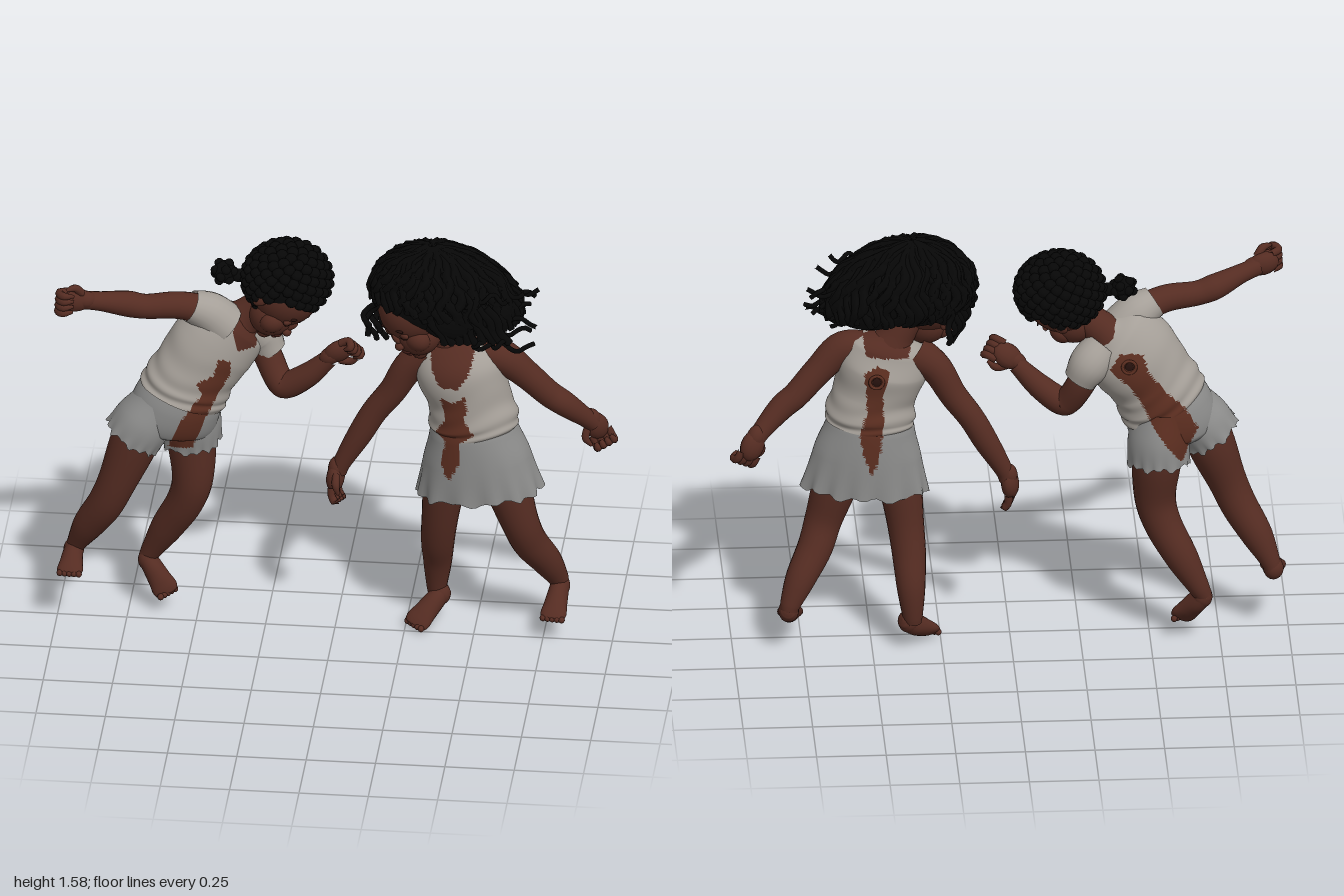
import * as THREE from 'three';

const V = (p) => new THREE.Vector3(...p);
const mat = (name, color) => Object.assign(new THREE.MeshStandardMaterial({ color }), { name });

export function createModel() {
  const root = new THREE.Group();
  const skin = mat('skin', 0x552c22), shirt = mat('shirt cloth', 0xa59f98), shorts = mat('shorts cloth', 0x8d8d8c);
  const hair = mat('hair', 0x070707), stain = mat('stain', 0x5c2e20), dark = mat('dark', 0x27120e), lip = mat('lips', 0x47201a);
  shirt.side = shorts.side = stain.side = THREE.DoubleSide;
  let seed = 7;
  const rnd = () => (seed = (seed * 16807) % 2147483647) / 2147483647;

  const add = (parent, name, geo, m) => {
    const mesh = new THREE.Mesh(geo, m);
    mesh.name = name;
    parent.add(mesh);
    return mesh;
  };
  const ball = (parent, name, p, r, m, seg = 14) => {
    const mesh = add(parent, name, new THREE.SphereGeometry(1, seg, Math.ceil(seg * 0.7)), m);
    mesh.position.set(...p);
    mesh.scale.set(...r);
    return mesh;
  };
  const inside = (x, y, poly) => {
    let hit = false;
    poly.forEach(([ax, ay], i) => {
      const [bx, by] = poly[(i + 1) % poly.length];
      if ((ay > y) !== (by > y) && x < ((bx - ax) * (y - ay)) / (by - ay) + ax) hit = !hit;
    });
    return hit;
  };

  // Elliptical loft through sections [x, y, z, halfWidth, halfDepth]
  // patches: [polygon in x/y, facing sign, material index]
  function loft(parent, name, secs, m, o = {}) {
    const { rows = 24, cols = 20, twist = 0, ref = [0, 0, 1], shape = () => 1, drop = () => 0, patches = [] } = o;
    const path = new THREE.CatmullRomCurve3(secs.map((s) => V(s.slice(0, 3))));
    const size = new THREE.CatmullRomCurve3(secs.map((s) => V([s[3], s[4] ?? s[3], 0])), false, 'catmullrom', 0.4);
    const cs = Math.cos(twist), sn = Math.sin(twist), pos = [], tris = [];
    for (let i = 0; i <= rows; i++) {
      const t = i / rows, c = path.getPoint(t), d = path.getTangent(t), r = size.getPoint(t);
      const u = d.clone().cross(V(ref)).normalize(), v = d.clone().cross(u);
      for (let j = 0; j < cols; j++) {
        const a = (j / cols) * Math.PI * 2, k = shape(t, a);
        const x = Math.cos(a) * Math.max(r.x, 0.002) * k, y = Math.sin(a) * Math.max(r.y, 0.002) * k;
        const p = c.clone().addScaledVector(u, x * cs - y * sn).addScaledVector(v, x * sn + y * cs).addScaledVector(d, drop(t, a));
        pos.push(p.x, p.y, p.z);
      }
    }
    for (let i = 0; i < rows; i++) for (let j = 0; j < cols; j++) {
      const a = i * cols + j, b = i * cols + ((j + 1) % cols);
      tris.push([a, b, a + cols], [b, b + cols, a + cols]);
    }
    const geo = new THREE.BufferGeometry();
    geo.setAttribute('position', new THREE.Float32BufferAttribute(pos, 3));
    const bins = [m].flat().map(() => []);
    for (const t of tris) {
      const [a, b, c] = t.map((i) => V(pos.slice(i * 3, i * 3 + 3)));
      const mid = a.clone().add(b).add(c).divideScalar(3), nz = b.sub(a).cross(c.sub(a)).z;
      let k = 0;
      for (const [poly, sign, index] of patches) if (nz * sign > 0 && inside(mid.x, mid.y, poly)) k = index;
      bins[k].push(...t);
    }
    geo.setIndex(bins.flat());
    let start = 0;
    if (Array.isArray(m)) bins.forEach((b, i) => { geo.addGroup(start, b.length, i); start += b.length; });
    geo.computeVertexNormals();
    return add(parent, name, geo, m);
  }
  const limb = (parent, name, secs) => loft(parent, name, secs, skin, { rows: 32, cols: 20 });

  // Hand whose fingers run along dir; curl folds them into a fist
  function hand(parent, name, p, dir, roll, curl) {
    const g = new THREE.Group();
    g.name = name;
    g.position.set(...p);
    g.quaternion.setFromUnitVectors(V([0, 1, 0]), V(dir).normalize());
    g.rotateY(roll);
    ball(g, 'palm', [0, 0, 0], [0.045, 0.058, 0.032], skin);
    ball(g, 'wrist', [0, -0.035, 0], [0.033, 0.045, 0.031], skin);
    const digit = (label, pts) => loft(g, label, pts.map((q, k) => [...q, k === pts.length - 1 ? 0.006 : 0.0145]), skin, { rows: 10, cols: 8, ref: [1, 0, 0.1] });
    for (const x of [-0.033, -0.011, 0.011, 0.033]) {
      digit('finger', [[x, 0.03, 0], [x, 0.065, 0.014 * curl], [x, 0.108 - 0.053 * curl, 0.05 * curl], [x * 0.9, 0.125 - 0.108 * curl, 0.045 * curl]]);
    }
    digit('thumb', [[0.028, -0.02, 0.012], [0.053, 0.01, 0.023], [0.048, 0.045, 0.035]]);
    parent.add(g);
  }

  // Foot from heel to toes, joined to the ankle by a rounded heel
  function foot(parent, name, heel, toe) {
    const h = V(heel), t = V(toe), at = (k) => h.clone().lerp(t, k).toArray();
    ball(parent, 'heel', heel, [0.037, 0.042, 0.038], skin, 18);
    loft(parent, name, [[...at(-0.25), 0.004, 0.004], [...at(-0.15), 0.032, 0.03], [...at(0.2), 0.042, 0.037], [...at(0.55), 0.034, 0.042],
      [...at(0.8), 0.024, 0.047], [...at(0.96), 0.014, 0.038], [...at(1), 0.003, 0.01]], skin, { ref: [1, 0, 0] });
    const side = t.clone().sub(h).cross(V([0, 1, 0.2])).normalize();
    for (let i = -2; i <= 2; i++) ball(parent, 'toe', V(at(0.95)).addScaledVector(side, i * 0.017).toArray(), [0.012, 0.012, 0.014], skin, 10);
  }

  // Head in its own frame: +z is the face, +y the crown
  function head(parent, p, face, up) {
    const g = new THREE.Group();
    g.name = 'head';
    const f = V(face).normalize(), x = V(up).cross(f).normalize(), y = f.clone().cross(x);
    g.quaternion.setFromRotationMatrix(new THREE.Matrix4().makeBasis(x, y, f));
    g.position.set(...p);
    ball(g, 'skull', [0, 0.02, -0.01], [0.12, 0.13, 0.132], skin, 30);
    ball(g, 'jaw', [0, -0.065, 0.045], [0.09, 0.088, 0.085], skin, 26);
    ball(g, 'chin', [0, -0.125, 0.088], [0.035, 0.028, 0.028], skin);
    ball(g, 'nose', [0, -0.047, 0.13], [0.02, 0.016, 0.018], skin);
    ball(g, 'noseBridge', [0, -0.02, 0.119], [0.012, 0.03, 0.014], skin);
    ball(g, 'upperLip', [0, -0.083, 0.125], [0.028, 0.008, 0.01], lip);
    ball(g, 'lowerLip', [0, -0.096, 0.121], [0.024, 0.009, 0.01], lip);
    for (const s of [-1, 1]) {
      ball(g, 'cheek', [s * 0.045, -0.055, 0.075], [0.052, 0.05, 0.045], skin, 20);
      ball(g, 'eyelid', [s * 0.047, -0.002, 0.106], [0.024, 0.014, 0.012], skin);
      ball(g, 'lashes', [s * 0.047, -0.01, 0.112], [0.021, 0.003, 0.007], dark, 12);
      ball(g, 'eyebrow', [s * 0.047, 0.03, 0.109], [0.025, 0.004, 0.007], dark, 12).rotation.z = -s * 0.15;
      ball(g, 'ear', [s * 0.122, -0.02, -0.005], [0.015, 0.036, 0.024], skin);
    }
    parent.add(g);
    return { f, y };
  }

  const folds = (t, a) => 1 + 0.04 * Math.sin(t * 34 + 2 * Math.sin(a * 2)) * Math.max(0, t - 0.35);
  const ruffle = (t, a) => 1 + 0.045 * t ** 6 * Math.sin(a * 13 + Math.sin(a * 3)) + 0.015 * t * Math.sin(a * 5);
  const ragged = (t, a) => 0.006 * t ** 5 * (Math.sin(a * 7) + Math.sin(a * 16 + 1));
  const cloth = { rows: 60, cols: 76 };

  // ---- Child with braided hair ----
  const one = new THREE.Group();
  one.name = 'childWithBraids';
  root.add(one);
  const frontA = [[-0.41, 1.12], [-0.37, 1.1], [-0.37, 1.05], [-0.42, 0.96], [-0.47, 0.85], [-0.51, 0.73], [-0.6, 0.72], [-0.56, 0.85], [-0.51, 0.93], [-0.47, 0.98], [-0.49, 1.03], [-0.43, 1.05]];
  const backA = [[-0.39, 1.18], [-0.35, 1.12], [-0.42, 1.05], [-0.47, 0.97], [-0.51, 0.88], [-0.61, 0.74], [-0.67, 0.86], [-0.62, 0.95], [-0.55, 1.02], [-0.49, 1.1], [-0.47, 1.17]];
  const patchA = [[frontA, 1, 1], [backA, -1, 1]];
  loft(one, 'shirt', [[-0.335, 1.235, -0.07, 0.06, 0.055], [-0.37, 1.2, -0.06, 0.15, 0.1], [-0.44, 1.12, -0.045, 0.168, 0.125], [-0.5, 1.03, -0.03, 0.158, 0.128],
    [-0.535, 0.965, -0.025, 0.165, 0.135], [-0.555, 0.92, -0.02, 0.165, 0.135]], [shirt, stain, skin],
  { ...cloth, twist: -0.4, shape: folds, patches: [...patchA, [[[-0.37, 1.27], [-0.24, 1.24], [-0.29, 1.13], [-0.35, 1.14]], 1, 2]] });
  loft(one, 'rightSleeve', [[-0.4, 1.21, -0.02, 0.085], [-0.455, 1.265, -0.005, 0.076], [-0.52, 1.3, 0.015, 0.058]], shirt);
  loft(one, 'leftSleeve', [[-0.33, 1.17, -0.09, 0.075], [-0.28, 1.12, -0.12, 0.075], [-0.245, 1.06, -0.12, 0.06]], shirt);
  loft(one, 'shorts', [[-0.53, 1.0, -0.02, 0.14, 0.12], [-0.57, 0.89, -0.02, 0.165, 0.135], [-0.6, 0.8, -0.02, 0.16, 0.12], [-0.61, 0.755, -0.02, 0.06, 0.05]], [shorts, stain], { ...cloth, twist: -0.4, patches: patchA });
  const hem = { rows: 36, cols: 60, shape: ruffle, drop: ragged, patches: patchA };
  loft(one, 'rightShortsLeg', [[-0.64, 0.91, 0.01, 0.08, 0.1], [-0.685, 0.83, 0.02, 0.105, 0.115], [-0.725, 0.765, 0.025, 0.108, 0.113]], [shorts, stain], hem);
  loft(one, 'leftShortsLeg', [[-0.54, 0.91, -0.06, 0.09, 0.11], [-0.53, 0.8, -0.075, 0.11, 0.12], [-0.53, 0.71, -0.085, 0.11, 0.113]], [shorts, stain], hem);
  limb(one, 'rightArm', [[-0.45, 1.27, -0.01, 0.055], [-0.56, 1.305, 0.025, 0.05], [-0.68, 1.31, 0.055, 0.045], [-0.74, 1.325, 0.07, 0.047], [-0.84, 1.355, 0.115, 0.035], [-0.9, 1.37, 0.14, 0.033]]);
  hand(one, 'rightHand', [-0.92, 1.375, 0.15], [-1, 0.1, 0.3], 0.4, 1);
  limb(one, 'leftArm', [[-0.3, 1.14, -0.11, 0.055], [-0.255, 1.05, -0.11, 0.052], [-0.21, 0.965, -0.08, 0.05], [-0.19, 0.95, -0.07, 0.05], [-0.11, 1.0, -0.05, 0.045], [-0.02, 1.09, -0.035, 0.032]]);
  hand(one, 'leftHand', [0.01, 1.12, -0.03], [0.8, 0.55, 0], 0.5, 0.8);
  limb(one, 'rightLeg', [[-0.67, 0.88, 0.02, 0.085], [-0.72, 0.74, 0.02, 0.088], [-0.785, 0.57, 0.03, 0.07], [-0.825, 0.48, 0.02, 0.066], [-0.885, 0.38, -0.01, 0.058], [-0.935, 0.28, -0.04, 0.036], [-0.945, 0.25, -0.045, 0.032]]);
  foot(one, 'rightFoot', [-0.945, 0.255, -0.04], [-0.95, 0.215, 0.085]);
  limb(one, 'leftLeg', [[-0.54, 0.86, -0.07, 0.09], [-0.525, 0.72, -0.075, 0.09], [-0.52, 0.55, -0.06, 0.074], [-0.545, 0.46, -0.07, 0.068], [-0.61, 0.34, -0.1, 0.06], [-0.675, 0.22, -0.12, 0.038], [-0.69, 0.19, -0.12, 0.032]]);
  foot(one, 'leftFoot', [-0.685, 0.185, -0.115], [-0.605, 0.075, -0.06]);
  limb(one, 'neck', [[-0.38, 1.18, -0.06, 0.09], [-0.32, 1.235, -0.06, 0.065], [-0.24, 1.3, -0.05, 0.06]]);
  const axes = head(one, [-0.195, 1.335, -0.045], [0.45, -0.75, 0.45], [0.75, 0.65, 0.1]);

  // Braided cap: small knots over a rounded base, down to the hairline
  const capC = [-0.178, 1.39, -0.06], capR = [0.15, 0.128, 0.145];
  ball(one, 'hairCap', capC, [0.146, 0.122, 0.14], hair, 30);
  for (let i = 0; i < 210; i++) {
    const y = 1 - (2 * (i + 0.5)) / 210, r = Math.sqrt(1 - y * y), a = i * 2.39996;
    const n = V([r * Math.cos(a), y, r * Math.sin(a)]);
    if (n.dot(axes.f) < 0.35 || n.dot(axes.y) > 0.15) ball(one, 'braidKnot', n.toArray().map((c, k) => capC[k] + c * capR[k]), [0.023, 0.02, 0.023], hair, 8);
  }
  ball(one, 'bun', [-0.405, 1.4, -0.07], [0.042, 0.04, 0.045], hair);
  for (let i = 0; i < 14; i++) {
    const a = i * 2.4, y = -0.9 + i * 0.138, r = Math.sqrt(1 - y * y);
    ball(one, 'bunKnot', [-0.405 + 0.036 * r * Math.cos(a), 1.4 + 0.036 * y, -0.07 + 0.04 * r * Math.sin(a)], [0.018, 0.017, 0.018], hair, 8);
  }
  ball(one, 'bunTie', [-0.35, 1.39, -0.065], [0.035, 0.024, 0.028], hair);

  // ---- Child with loose hair ----
  const two = new THREE.Group();
  two.name = 'childWithLooseHair';
  root.add(two);
  const frontB = [[0.39, 1.03], [0.435, 1.01], [0.48, 1.04], [0.49, 0.98], [0.475, 0.95], [0.515, 0.89], [0.46, 0.85], [0.46, 0.77], [0.42, 0.69], [0.395, 0.76], [0.41, 0.85], [0.37, 0.87], [0.41, 0.94]];
  const backB = [[0.44, 1.11], [0.48, 1.13], [0.53, 1.1], [0.52, 1.03], [0.52, 0.95], [0.545, 0.86], [0.53, 0.78], [0.5, 0.7], [0.47, 0.8], [0.46, 0.9], [0.46, 1.02]];
  const patchB = [[frontB, 1, 1], [backB, -1, 1]];
  loft(two, 'tankTop', [[0.425, 1.215, -0.025, 0.06, 0.05], [0.435, 1.17, -0.02, 0.14, 0.09], [0.455, 1.09, -0.005, 0.165, 0.13], [0.485, 0.98, 0, 0.15, 0.125], [0.5, 0.9, 0, 0.162, 0.135], [0.505, 0.86, 0, 0.155, 0.132]],
    [shirt, stain, skin], { ...cloth, shape: folds, patches: [...patchB, [[[0.34, 1.27], [0.52, 1.27], [0.5, 1.14], [0.45, 1.07], [0.39, 1.07], [0.355, 1.13]], 1, 2],
      [[[0.33, 1.27], [0.54, 1.27], [0.52, 1.16], [0.37, 1.15]], -1, 2]] });
  loft(two, 'skirt', [[0.49, 0.93, 0, 0.135, 0.115], [0.5, 0.85, 0, 0.16, 0.135], [0.512, 0.74, 0, 0.195, 0.14], [0.522, 0.605, 0, 0.225, 0.138]], [shorts, stain],
    { ...cloth, shape: ruffle, drop: ragged, patches: patchB });
  ball(two, 'skirtLining', [0.51, 0.72, 0], [0.17, 0.09, 0.115], shorts, 24);
  limb(two, 'rightArm', [[0.35, 1.14, -0.02, 0.07], [0.27, 1.08, -0.025, 0.058], [0.205, 0.97, -0.03, 0.05], [0.14, 0.88, -0.035, 0.047], [0.09, 0.79, -0.035, 0.045], [0.02, 0.66, -0.03, 0.032], [0.01, 0.63, -0.03, 0.03]]);
  hand(two, 'rightHand', [0.0, 0.61, -0.025], [-0.1, -1, 0.1], 0.3, 0.45);
  limb(two, 'leftArm', [[0.52, 1.16, -0.01, 0.06], [0.6, 1.15, 0.0, 0.062], [0.69, 1.07, -0.015, 0.052], [0.77, 0.985, -0.035, 0.048], [0.82, 0.945, -0.045, 0.046], [0.9, 0.865, -0.085, 0.034], [0.92, 0.84, -0.1, 0.032]]);
  hand(two, 'leftHand', [0.93, 0.825, -0.11], [0.35, -0.85, -0.25], 0.9, 0.8);
  limb(two, 'rightLeg', [[0.42, 0.76, 0, 0.085], [0.395, 0.62, -0.015, 0.078], [0.375, 0.46, -0.035, 0.066], [0.365, 0.36, -0.06, 0.061], [0.36, 0.25, -0.1, 0.052], [0.355, 0.13, -0.115, 0.036], [0.355, 0.11, -0.115, 0.032]]);
  foot(two, 'rightFoot', [0.37, 0.11, -0.105], [0.28, 0.022, -0.01]);
  limb(two, 'leftLeg', [[0.59, 0.76, 0.015, 0.085], [0.625, 0.62, 0.005, 0.083], [0.67, 0.47, 0.0, 0.068], [0.7, 0.38, -0.03, 0.064], [0.755, 0.28, -0.08, 0.055], [0.795, 0.19, -0.115, 0.037], [0.8, 0.17, -0.12, 0.032]]);
  foot(two, 'leftFoot', [0.8, 0.165, -0.11], [0.785, 0.095, 0.03]);
  limb(two, 'neck', [[0.435, 1.15, -0.02, 0.09, 0.08], [0.4, 1.22, -0.02, 0.062], [0.34, 1.31, -0.01, 0.06]]);
  head(two, [0.29, 1.325, 0.015], [-0.55, -0.55, 0.6], [-0.5, 0.8, 0.2]);

  // Loose hair: rounded masses with wavy locks sweeping to the side
  const hc = [0.35, 1.41, -0.01], hr = [0.215, 0.155, 0.175];
  ball(two, 'hairMass', hc, hr, hair, 30);
  ball(two, 'hairSweep', [0.5, 1.36, -0.01], [0.17, 0.118, 0.145], hair, 26);
  ball(two, 'hairSide', [0.43, 1.35, 0.06], [0.125, 0.1, 0.11], hair, 22);
  const lock = (name, pts, r) => add(two, name, new THREE.TubeGeometry(new THREE.CatmullRomCurve3(pts), 20, r, 5), hair);
  for (let i = 0; i < 64; i++) {
    const phi = (i / 64) * Math.PI * 2, toFace = Math.max(0, Math.cos(phi - 2.3)), sweep = Math.max(0, Math.cos(phi));
    const end = 2.1 - 0.55 * toFace + rnd() * 0.2 - sweep * 0.2, pts = [], w = rnd() * 6;
    for (let k = 0; k <= 10; k++) {
      const th = 0.05 + (end * k) / 10, p = phi + 0.09 * Math.sin(k * 1.5 + w), s = 1 + 0.025 * Math.sin(k * 1.9 + w);
      pts.push(V([hc[0] + hr[0] * s * Math.sin(th) * Math.cos(p) + sweep * 0.012 * k, hc[1] + hr[1] * s * Math.cos(th) - sweep * 0.004 * k, hc[2] + hr[2] * s * Math.sin(th) * Math.sin(p)]));
    }
    lock('hairLock', pts, 0.014 + rnd() * 0.006);
  }
  // Locks hanging over the near cheek
  for (let i = 0; i < 9; i++) {
    const x = 0.34 + i * 0.028, z = 0.165 - 0.004 * i, w = rnd() * 6, pts = [];
    for (let k = 0; k <= 6; k++) pts.push(V([x + k * 0.012 + 0.008 * Math.sin(k * 1.4 + w), 1.42 - k * 0.026, z - 0.004 * k]));
    lock('cheekLock', pts, 0.016);
  }
  // Free curls trailing on the swept side
  for (let i = 0; i < 16; i++) {
    const y = 1.25 + 0.0133 * i, z = -0.08 + 0.21 * rnd(), len = 0.12 + 0.11 * rnd(), w = rnd() * 6, pts = [];
    for (let k = 0; k <= 8; k++) pts.push(V([0.51 + (len * k) / 8, y + 0.016 * Math.sin(k * 1.3 + w), z + 0.015 * Math.cos(k * 1.3 + w)]));
    lock('trailingCurl', pts, 0.009);
  }
  // Short curls beside the face
  for (let i = 0; i < 9; i++) {
    const x = 0.145 + 0.012 * i, z = 0.1 - i * 0.03, w = rnd() * 6, step = 0.022 + 0.012 * rnd(), pts = [];
    for (let k = 0; k <= 6; k++) pts.push(V([x - 0.025 * Math.sin(k * 0.5) + 0.012 * Math.sin(k * 1.5 + w), 1.39 - k * step, z + 0.01 * Math.cos(k * 1.5 + w)]));
    lock('faceCurl', pts, 0.011);
  }

  // Round marks on the backs
  for (const [g, p] of [[one, [-0.42, 1.13, -0.174]], [two, [0.485, 1.075, -0.134]]]) {
    add(g, 'backMarkRim', new THREE.TorusGeometry(0.024, 0.006, 8, 20), stain).position.set(...p);
    ball(g, 'backMark', p, [0.016, 0.016, 0.004], dark);
  }
  return root;
}
